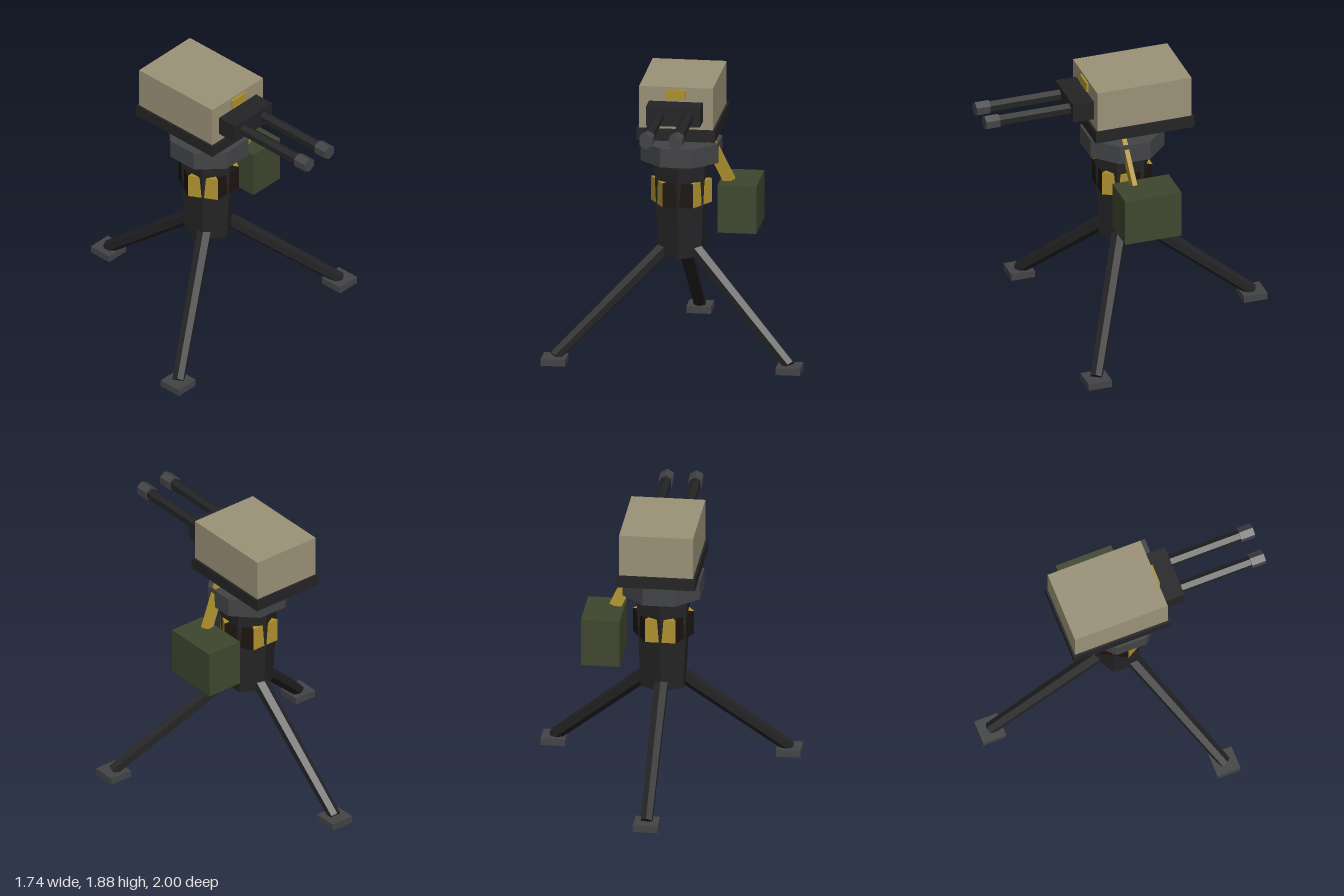
import * as THREE from 'three';

const COLORS = {
  black: 0x242426, stripe: 0x1c1410, steel: 0x434446, tan: 0x9c9278,
  gold: 0xb0922e, olive: 0x3f472f,
};
const mats = {};
for (const [key, color] of Object.entries(COLORS)) {
  mats[key] = new THREE.MeshStandardMaterial({ color, flatShading: true });
}

export function createModel() {
  const model = new THREE.Group();
  model.name = 'tripodTurret';

  const add = (name, geometry, mat, x = 0, y = 0, z = 0) => {
    const mesh = new THREE.Mesh(geometry, mats[mat]);
    mesh.name = name;
    mesh.position.set(x, y, z);
    model.add(mesh);
    return mesh;
  };
  // Box given by its minimum and maximum corners
  const box = (name, mat, [x0, y0, z0], [x1, y1, z1]) =>
    add(name, new THREE.BoxGeometry(x1 - x0, y1 - y0, z1 - z0), mat,
      (x0 + x1) / 2, (y0 + y1) / 2, (z0 + z1) / 2);
  // Centres a mesh between two points, its y axis running from a to b
  const span = (mesh, a, b) => {
    mesh.position.copy(a).add(b).multiplyScalar(0.5);
    mesh.quaternion.setFromUnitVectors(new THREE.Vector3(0, 1, 0), b.clone().sub(a).normalize());
  };
  const AXIS_Z = -0.005; // z of the column axis

  // Tripod: three hexagonal legs with square feet
  ['leftLeg', 'backLeg', 'rightLeg'].forEach((name, i) => {
    const angle = Math.PI / 3 + i * Math.PI * 2 / 3;
    const at = (r, y) => new THREE.Vector3(Math.sin(angle) * r, y, Math.cos(angle) * r + AXIS_Z);
    const foot = at(0.91, 0.045), hip = at(0.1, 0.73);
    const leg = add(name, new THREE.CylinderGeometry(0.052, 0.043, foot.distanceTo(hip), 6), 'black');
    span(leg, foot, hip);
    add(name + 'Foot', new THREE.BoxGeometry(0.165, 0.048, 0.165), 'steel', foot.x, 0.024, foot.z);
  });

  // Hexagonal column
  add('column', new THREE.CylinderGeometry(0.195, 0.165, 0.625, 6), 'black', 0, 0.9775, AXIS_Z);

  // Warning band: six wedges in alternating colours
  for (let i = 0; i < 6; i++) {
    const wedge = new THREE.CylinderGeometry(0.205, 0.205, 0.165, 1, 1, false,
      (i - 0.5) * Math.PI / 3, Math.PI / 3);
    add('warningBand', wedge, i % 2 ? 'gold' : 'stripe', 0, 1.1075, AXIS_Z);
  }

  // Octagonal turntable, flat side to the front
  const turntable = add('turntable', new THREE.CylinderGeometry(0.281, 0.281, 0.13, 8), 'steel', 0, 1.39, AXIS_Z);
  turntable.rotation.y = Math.PI / 8;

  // Head
  box('headPlate', 'black', [-0.263, 1.515, -0.42], [0.263, 1.597, 0.273]);
  box('headCover', 'tan', [-0.248, 1.597, -0.406], [0.248, 1.885, 0.257]);
  box('sensor', 'gold', [-0.067, 1.803, 0.24], [0.067, 1.867, 0.271]);
  box('barrelHousing', 'black', [-0.181, 1.655, 0.24], [0.181, 1.786, 0.403]);

  // Twin hexagonal barrels with muzzles
  for (const side of [-1, 1]) {
    const barrel = add('barrel', new THREE.CylinderGeometry(0.04, 0.04, 0.55, 6), 'black', side * 0.099, 1.72, 0.65);
    const muzzle = add('muzzle', new THREE.CylinderGeometry(0.051, 0.051, 0.098, 6), 'steel', side * 0.099, 1.72, 0.951);
    barrel.rotation.x = muzzle.rotation.x = Math.PI / 2;
  }

  // Ammunition box and feed belt
  box('ammoBox', 'olive', [0.264, 0.86, -0.24], [0.525, 1.188, 0.156]);
  const low = new THREE.Vector3(0.329, 1.187, 0.03);
  const high = new THREE.Vector3(0.166, 1.53, 0.064);
  const belt = add('feedBelt', new THREE.BoxGeometry(0.08, low.distanceTo(high), 0.032), 'gold');
  span(belt, low, high);

  return model;
}
